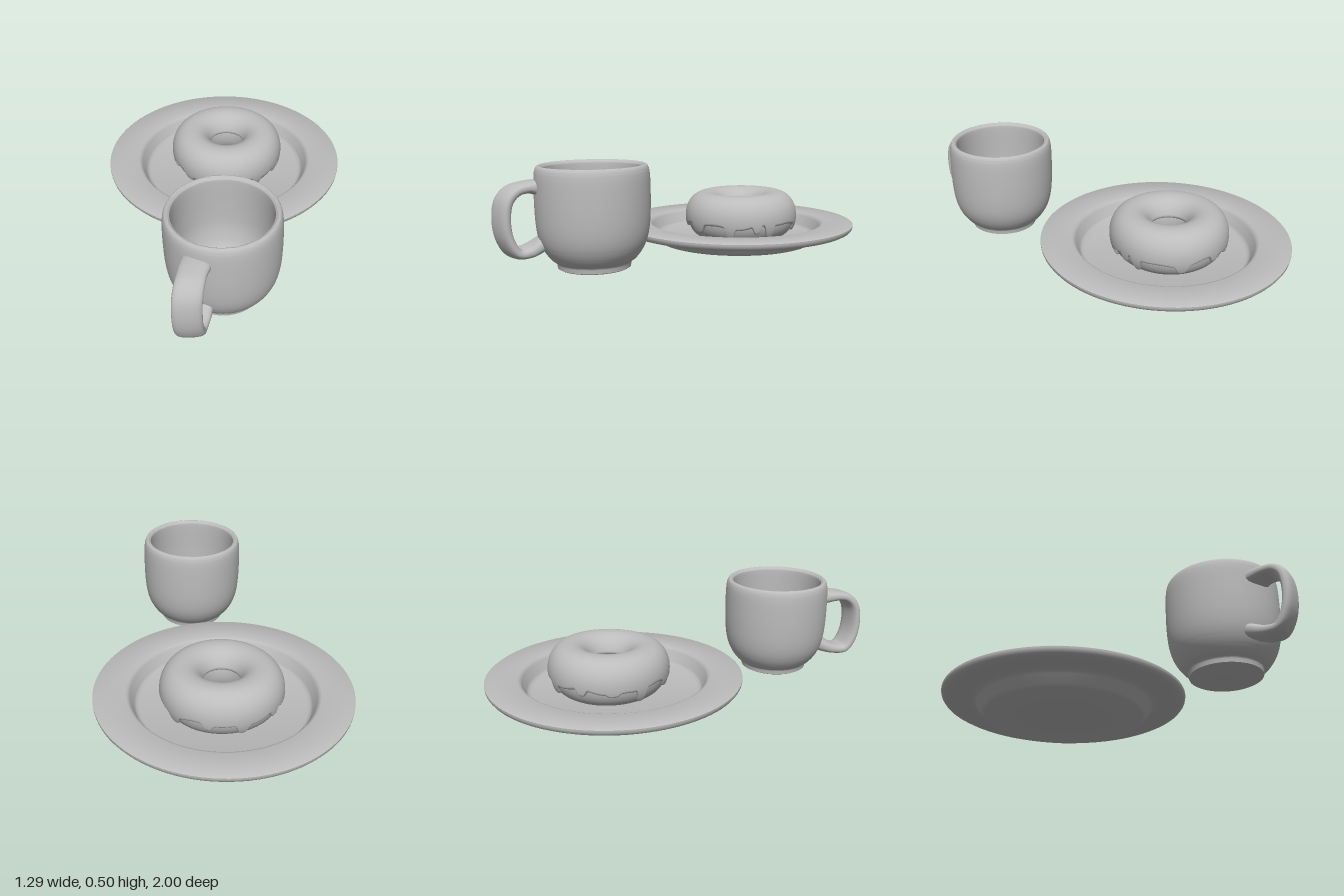
import * as THREE from 'three';
import { toCreasedNormals } from 'three/addons/utils/BufferGeometryUtils.js';
import { ParametricGeometry } from 'three/addons/geometries/ParametricGeometry.js';

const TAU = Math.PI * 2;
const stoneware = new THREE.MeshStandardMaterial({ color: 0xbcbcbc });
stoneware.name = 'grey stoneware';

const part = (name, geometry) => {
  const mesh = new THREE.Mesh(geometry, stoneware);
  mesh.name = name;
  return mesh;
};
const vec2 = (pairs) => pairs.map(([x, y]) => new THREE.Vector2(x, y));
const curve = (pairs, n) => new THREE.SplineCurve(vec2(pairs)).getPoints(n);
const lathe = (points) => toCreasedNormals(new THREE.LatheGeometry(points, 96), 0.8);
const soft = (s, power) => Math.sign(s) * Math.abs(s) ** power;

// Plate: raised foot, stepped well and broad flat rim
function createPlate() {
  const plate = part('plate', lathe(vec2([
    [0, 0.003], [0.41, 0.003], [0.422, 0.007], [0.432, 0.017], [0.458, 0.057], [0.467, 0.067], [0.482, 0.072],
    [0.595, 0.072], [0.618, 0.075], [0.633, 0.083], [0.641, 0.094], [0.643, 0.104], [0.643, 0.11], [0.638, 0.114],
    [0.482, 0.113], [0.471, 0.109], [0.462, 0.097], [0.442, 0.05], [0.434, 0.039], [0.42, 0.034], [0, 0.034],
  ])));
  plate.position.z = -0.357;
  return plate;
}

// Doughnut surface: a softly squared ring, grown outward by `grow`
function ringPoint(a, phi, grow, target) {
  const wobble = 1 + 0.008 * Math.cos(3 * a + 1);
  const radius = (0.194 + (0.098 + grow) * soft(Math.cos(phi), 0.92)) * wobble;
  const y = (0.117 + grow) * soft(Math.sin(phi), 0.95);
  target.set(radius * Math.cos(a), y, radius * Math.sin(a));
}

// Drips: direction in degrees, width in radians, extra length
const drips = [
  [62, 0.075, 0.6], [34, 0.07, 0.35], [20, 0.075, 0.6], [100, 0.13, 0.4], [140, 0.1, 0.25], [175, 0.075, 0.6],
  [203, 0.1, 0.12], [233, 0.08, 0.28], [268, 0.09, 0.45], [300, 0.08, 0.25], [335, 0.1, 0.35],
];
function icingEdge(a) {
  let phi = -0.2 + 0.06 * Math.sin(5 * a) + 0.04 * Math.cos(9 * a + 1);
  for (const [deg, width, length] of drips) {
    const d = Math.atan2(Math.sin(a - deg * TAU / 360), Math.cos(a - deg * TAU / 360));
    phi -= length * Math.exp(-((d / width) ** 4));
  }
  return phi;
}

function createDoughnut() {
  const doughnut = new THREE.Group();
  doughnut.name = 'doughnut';
  doughnut.add(part('dough', new ParametricGeometry((u, v, p) => ringPoint(-u * TAU, v * TAU, 0, p), 96, 48)));

  // Icing shell with rounded beads along its dripping edge and inside the hole
  doughnut.add(part('icing', new ParametricGeometry((u, v, p) => {
    const a = -u * TAU;
    const start = icingEdge(a);
    const span = Math.PI - 0.25 - start;
    const t = (v - Math.sin(TAU * v) / TAU * 0.8); // finer rows at both beads
    const phi = start + span * t;
    const s = Math.min(1, Math.min(phi - start, start + span - phi) / 0.14);
    ringPoint(a, phi, -0.003 + 0.017 * Math.sqrt(Math.max(0, 1 - (1 - s) ** 2)), p);
  }, 288, 56)));
  doughnut.position.set(0.017, 0.147, -0.381);
  doughnut.rotation.x = 0.02; // sits slightly tilted
  return doughnut;
}

// Mug handle: flat band swept along a bent path, turning into the wall
function createHandle() {
  const path = new THREE.CatmullRomCurve3([
    [0.8, 0.398], [0.86, 0.401], [0.915, 0.388], [0.955, 0.345], [0.97, 0.26],
    [0.957, 0.165], [0.917, 0.1], [0.86, 0.1], [0.775, 0.14],
  ].map(([z, y]) => new THREE.Vector3(-0.235 - 0.34 * (z - 0.8), y, z)));
  const outerAcross = new THREE.Vector3(1, 0, 0.06);
  const wallAcross = new THREE.Vector3(0.86, 0, 0.52);
  return part('mugHandle', new ParametricGeometry((u, v, p) => {
    const flare = Math.exp(-((Math.min(u, 1 - u) / 0.1) ** 2));
    const across = outerAcross.clone().lerp(wallAcross, flare).normalize();
    const out = new THREE.Vector3().crossVectors(across, path.getTangent(u)).normalize();
    p.copy(path.getPoint(u))
      .addScaledVector(across, (0.066 + 0.004 * flare) * soft(Math.cos(v * TAU), 0.75))
      .addScaledVector(out, (0.026 + 0.01 * flare) * soft(Math.sin(v * TAU), 0.75));
  }, 64, 32));
}

function createMug() {
  const mug = new THREE.Group();
  mug.name = 'mug';
  // Foot, rounded outer wall, lip, inner wall and floor in one turned profile
  const body = part('mugBody', lathe([
    ...vec2([[0, 0.003], [0.165, 0.003], [0.174, 0.008], [0.176, 0.026]]),
    ...curve([[0.178, 0.034], [0.205, 0.054], [0.235, 0.095], [0.256, 0.145], [0.268, 0.21], [0.273, 0.3],
      [0.273, 0.41], [0.269, 0.465], [0.261, 0.489], [0.25, 0.496], [0.24, 0.489], [0.234, 0.465],
      [0.234, 0.3], [0.228, 0.2], [0.205, 0.12], [0.175, 0.08], [0.147, 0.062]], 96),
    ...vec2([[0.143, 0.056], [0, 0.056]]),
  ]));
  body.position.set(-0.098, 0, 0.588);
  body.rotation.z = 0.01; // leans very slightly
  mug.add(body, createHandle());
  return mug;
}

export function createModel() {
  const model = new THREE.Group();
  model.name = 'breakfastSet';
  model.add(createPlate(), createDoughnut(), createMug());
  return model;
}
